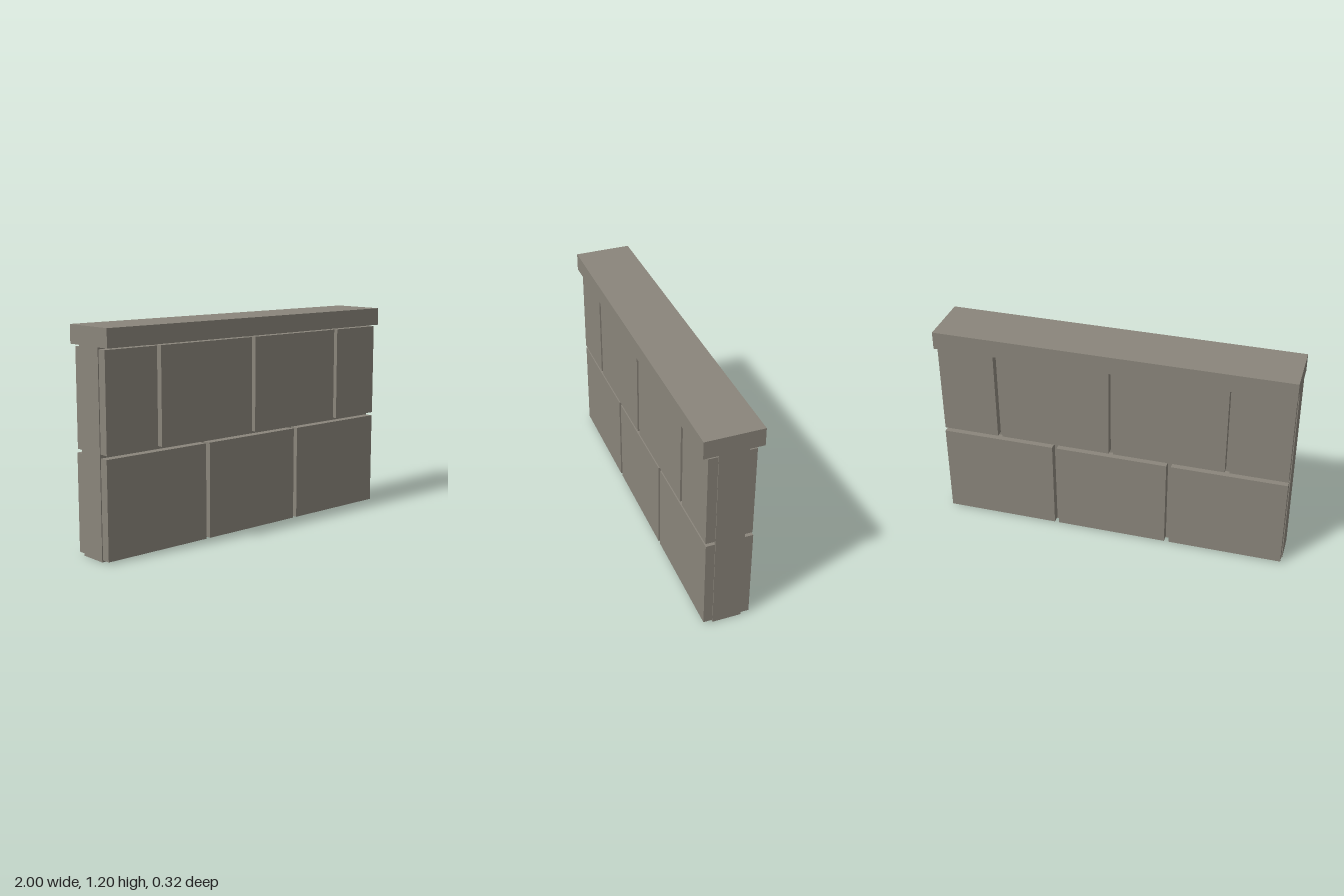
import * as THREE from 'three';

export function createModel() {
  const wall = new THREE.Group();
  wall.name = 'stoneWall';
  const stone = new THREE.MeshStandardMaterial({ color: 0x8a857b, flatShading: true });

  // Box given by its extents on each axis
  function box(name, [x0, x1], [y0, y1], [z0, z1]) {
    const mesh = new THREE.Mesh(new THREE.BoxGeometry(x1 - x0, y1 - y0, z1 - z0), stone);
    mesh.position.set((x0 + x1) / 2, (y0 + y1) / 2, (z0 + z1) / 2);
    mesh.name = name;
    wall.add(mesh);
  }

  // Solid core and overhanging coping
  box('core', [-1, 1], [0, 1.1], [-0.08, 0.08]);
  box('coping', [-1, 1], [1.1, 1.2], [-0.16, 0.16]);

  // Two courses of facing blocks in running bond, on both faces
  const joint = 0.013;
  const end = 0.995;
  const courses = [
    { name: 'lowerBlock', y: [0.01, 0.54], joints: [-0.332, 0.332], front: 0.13, back: 0.128 },
    { name: 'upperBlock', y: [0.56, 1.09], joints: [-0.658, 0, 0.658], front: 0.132, back: 0.123 },
  ];
  for (const { name, y, joints, front, back } of courses) {
    for (let i = 0; i <= joints.length; i++) {
      const x0 = i === 0 ? -end : joints[i - 1] + joint;
      const x1 = i === joints.length ? end : joints[i] - joint;
      box(`${name}Front${i + 1}`, [x0, x1], y, [0.08, front]);
      box(`${name}Back${i + 1}`, [x0, x1], y, [-back, -0.08]);
    }
  }
  return wall;
}
